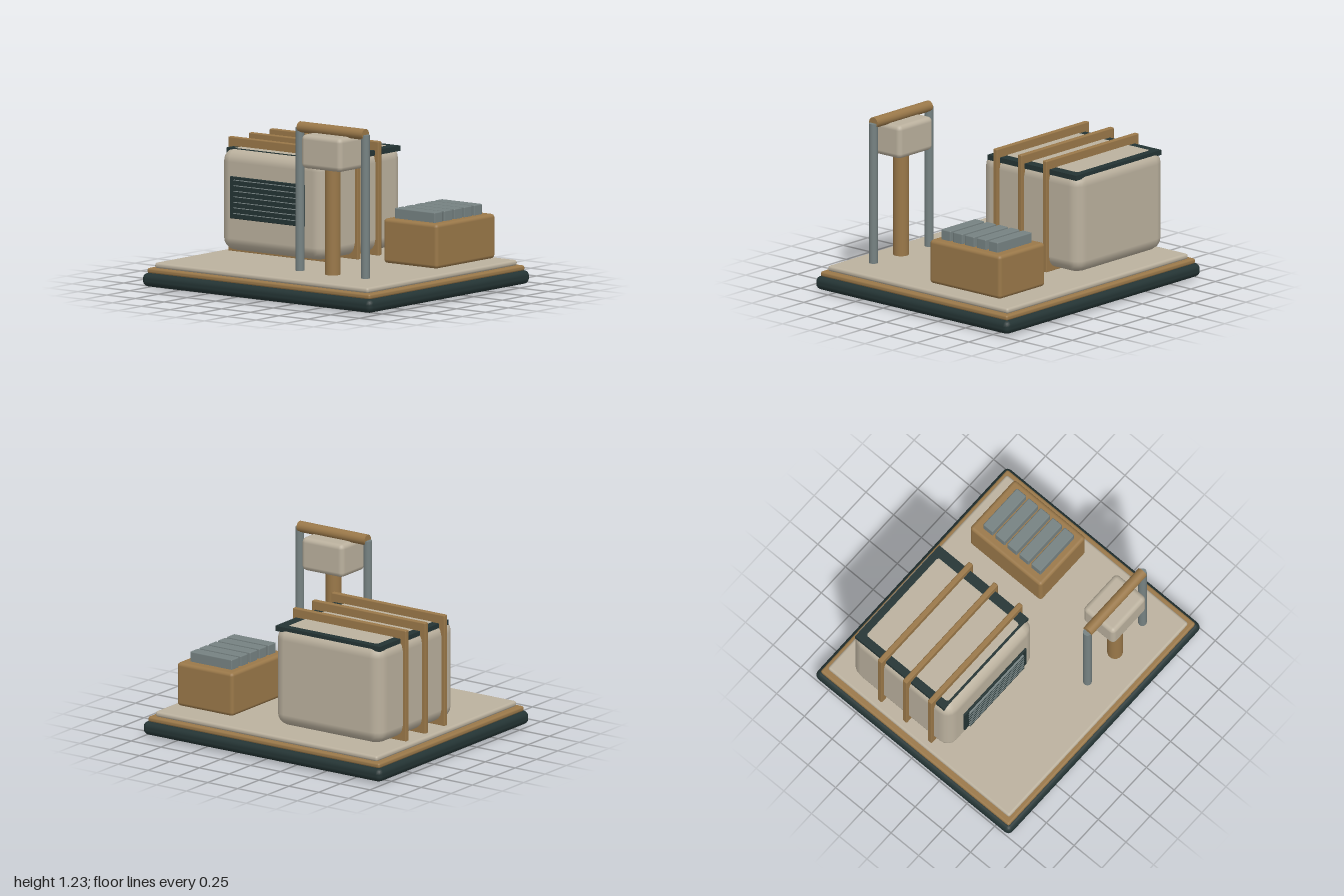
import * as THREE from 'three';
import { RoundedBoxGeometry } from 'three/addons/geometries/RoundedBoxGeometry.js';

const material = (name, color) => {
  const m = new THREE.MeshStandardMaterial({ color });
  m.name = name;
  return m;
};

export function createModel() {
  const cream = material('cream', 0xbbb19e);
  const brass = material('brass', 0x9a7849);
  const dark = material('dark green', 0x243434);
  const steel = material('steel grey', 0x768282);

  const model = new THREE.Group();
  model.name = 'tabletopMachine';

  const add = (name, geometry, mat) => {
    const mesh = new THREE.Mesh(geometry, mat);
    mesh.name = name;
    model.add(mesh);
    return mesh;
  };

  // Box given by its limits on each axis, with rounded edges when r > 0
  const box = (name, mat, [x0, x1], [y0, y1], [z0, z1], r = 0, segments = 2) => {
    const size = [x1 - x0, y1 - y0, z1 - z0];
    const geometry = r > 0
      ? new RoundedBoxGeometry(...size, segments, r)
      : new THREE.BoxGeometry(...size);
    const mesh = add(name, geometry, mat);
    mesh.position.set((x0 + x1) / 2, (y0 + y1) / 2, (z0 + z1) / 2);
    return mesh;
  };

  // Upright cylinder
  const post = (name, mat, x, z, y0, y1, r, sides = 20) => {
    const mesh = add(name, new THREE.CylinderGeometry(r, r, y1 - y0, sides), mat);
    mesh.position.set(x, (y0 + y1) / 2, z);
    return mesh;
  };

  // Stepped base and feet
  box('baseSlab', dark, [-1, 1], [0.015, 0.11], [-0.88, 0.88], 0.04);
  box('baseTrim', brass, [-0.97, 0.97], [0.105, 0.143], [-0.85, 0.85], 0.015);
  box('basePlate', cream, [-0.93, 0.93], [0.14, 0.18], [-0.82, 0.82], 0.018);
  for (const x of [-0.78, 0.78]) {
    for (const z of [-0.655, 0.655]) post('foot', steel, x, z, 0, 0.03, 0.1, 24);
  }

  // Main housing, with a dark lid seam showing at its rounded top edges
  box('housing', cream, [-0.855, 0.045], [0.2, 0.905], [-0.68, 0.21], 0.09);
  box('lidSeam', dark, [-0.835, 0.04], [0.866, 0.902], [-0.655, 0.15]);

  // Bands across the housing
  for (const z of [0.057, -0.168, -0.393]) {
    box('band', brass, [-0.88, 0.07], [0.175, 0.965], [z - 0.019, z + 0.019], 0.008, 1);
  }

  // Front vent panel with slats
  box('ventPanel', dark, [-0.73, -0.085], [0.435, 0.725], [0.23, 0.246], 0.005, 1);
  for (let i = 0; i < 7; i++) {
    const y = 0.465 + i * 0.0383;
    box('ventSlat', dark, [-0.69, -0.13], [y - 0.008, y + 0.007], [0.244, 0.26]);
    box('ventSlatTop', steel, [-0.69, -0.13], [y + 0.006, y + 0.01], [0.244, 0.26]);
  }

  // Key block with five keys
  box('keyBlock', brass, [0.38, 0.85], [0.2, 0.507], [-0.68, -0.035], 0.025);
  for (let i = 0; i < 5; i++) {
    const z = -0.132 - i * 0.108;
    box('key', steel, [0.438, 0.79], [0.5, 0.578], [z - 0.043, z + 0.043], 0.008, 1);
  }

  // Gantry: two posts, cross bar, central column and head
  for (const x of [0.152, 0.722]) post('gantryPost', steel, x, 0.585, 0.2, 1.187, 0.03);
  const bar = post('crossBar', brass, 0.438, 0.585, 0, 0.57, 0.038);
  bar.rotation.z = Math.PI / 2;
  bar.position.y = 1.19;
  post('column', brass, 0.438, 0.585, 0.2, 0.97, 0.054);
  box('head', cream, [0.263, 0.613], [0.93, 1.165], [0.442, 0.722], 0.035);

  return model;
}
